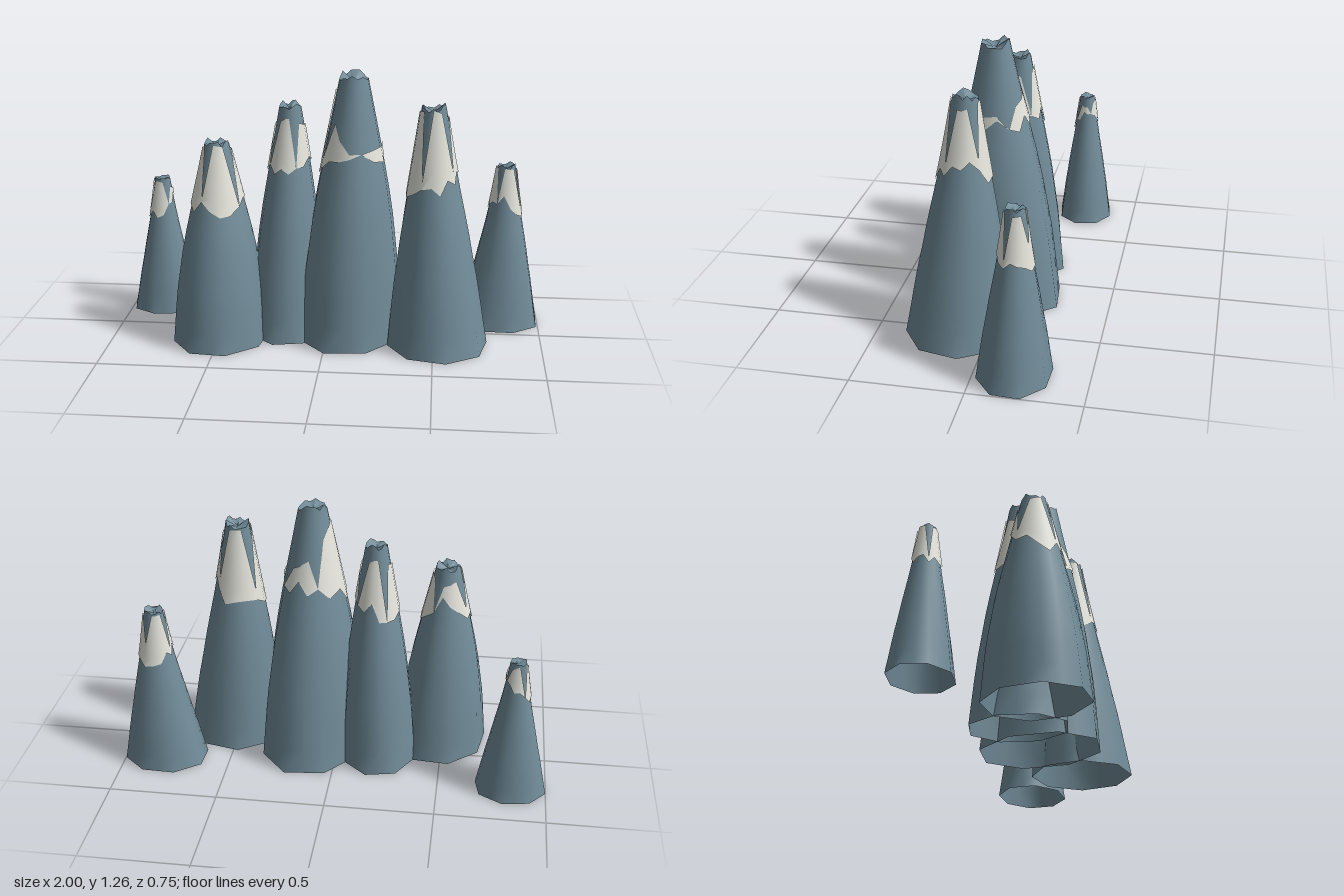
import * as THREE from 'three';

const rock = new THREE.MeshStandardMaterial({ color: 0x718c99, side: THREE.DoubleSide });
const snow = new THREE.MeshStandardMaterial({ color: 0xe6e6de, side: THREE.DoubleSide });

// Each peak: summit, centre and half-size of its eight-sided foot, turn of the foot
// in degrees, sideways skew of the foot, how slim the slope is at mid height, and
// lower / upper snow limits (share of height) at front, +x, back, -x.
const PEAKS = [
  { top: [-0.835, 0.68, -0.24], foot: [-0.837, -0.245], half: [0.167, 0.139], turn: -13, skew: 0, slim: 0.12,
    low: [0.74, 0.88, 0.8, 0.72], high: [0.96, 0.9, 0.97, 0.97] },
  { top: [-0.495, 0.96, 0.13], foot: [-0.49, 0.14], half: [0.22, 0.24], turn: 18, skew: 0.08, slim: 0,
    low: [0.67, 0.69, 0.84, 0.72], high: [0.98, 0.96, 0.9, 0.96] },
  { top: [-0.175, 1.11, -0.008], foot: [-0.2, -0.005], half: [0.185, 0.232], turn: -13, skew: 0, slim: 0.01,
    low: [0.72, 0.74, 0.72, 0.7], high: [0.94, 0.9, 0.94, 0.9] },
  { top: [0.12, 1.26, 0.045], foot: [0.115, 0.02], half: [0.245, 0.295], turn: -18, skew: 0.12, slim: 0,
    low: [0.7, 0.71, 0.72, 0.64], high: [0.72, 0.74, 0.8, 0.95] },
  { top: [0.48, 1.135, 0.1], foot: [0.52, 0.135], half: [0.234, 0.239], turn: 10, skew: 0, slim: 0.07,
    low: [0.65, 0.74, 0.68, 0.65], high: [0.98, 0.94, 0.97, 0.97] },
  { top: [0.825, 0.795, -0.18], foot: [0.81, -0.175], half: [0.2, 0.165], turn: 20, skew: 0, slim: 0.12,
    low: [0.78, 0.68, 0.7, 0.77], high: [0.98, 0.96, 0.97, 0.98] },
];

// Taper of the slope: [share of height, share of foot radius]
const TAPER = [[0, 1], [0.25, 0.9], [0.5, 0.725], [0.7, 0.525], [0.85, 0.37], [1, 0.22]];
const SIDES = 8;
const COLS = SIDES * 2;

function taper(t) {
  let i = 0;
  while (i < TAPER.length - 2 && t > TAPER[i + 1][0]) i++;
  const [t0, f0] = TAPER[i], [t1, f1] = TAPER[i + 1];
  return f0 + ((f1 - f0) * (t - t0)) / (t1 - t0);
}

// Repeatable jitter in 0..1
function jitter(a, b) {
  const s = Math.sin(a * 12.99 + b * 78.23) * 43758.5;
  return s - Math.floor(s);
}

// Snow limit at a column, blended between the four directions
function limit(peak, values, c) {
  const u = 4 * (c / COLS + peak.turn / 360 + 1), i = Math.floor(u);
  return THREE.MathUtils.lerp(values[i % 4], values[(i + 1) % 4], u - i);
}

// Foot outline at a column: even columns are corners, odd ones mid-sides
function footPoint(peak, c) {
  const a = THREE.MathUtils.degToRad(peak.turn) + (c / COLS) * Math.PI * 2;
  const k = c % 2 ? Math.cos(Math.PI / SIDES) : 1;
  const dz = Math.cos(a) * peak.half[1] * k;
  return [peak.foot[0] + Math.sin(a) * peak.half[0] * k - peak.skew * dz, peak.foot[1] + dz];
}

// Point on the slope at column c and height share t; the outline grows rounder upwards
function slope(peak, c, t, swell = 0) {
  const [x, h, z] = peak.top;
  const [fx, fz] = footPoint(peak, c);
  const dx = fx - x, dz = fz - z, len = Math.hypot(dx, dz);
  const mean = (peak.half[0] + peak.half[1]) / 2;
  const share = taper(t) - peak.slim * Math.sin(Math.PI * t);
  const r = THREE.MathUtils.lerp(len, mean, t) * share + swell;
  return [x + (dx / len) * r, t * h, z + (dz / len) * r];
}

// Surface through closed rings, listed from bottom to top
function loft(rings) {
  const index = [];
  for (let r = 0; r < rings.length - 1; r++)
    for (let c = 0; c < COLS; c++) {
      const a = r * COLS + c, b = r * COLS + ((c + 1) % COLS);
      index.push(a, b, b + COLS, a, b + COLS, a + COLS);
    }
  const g = new THREE.BufferGeometry();
  g.setAttribute('position', new THREE.Float32BufferAttribute(rings.flat(2), 3));
  g.setIndex(index);
  g.computeVertexNormals();
  return g;
}

const ring = (fn) => Array.from({ length: COLS }, (_, c) => fn(c));

function add(group, name, geometry, material) {
  const mesh = new THREE.Mesh(geometry, material);
  mesh.name = name;
  group.add(mesh);
}

export function createModel() {
  const range = new THREE.Group();
  range.name = 'mountainRange';
  PEAKS.forEach((peak, p) => {
    const group = new THREE.Group();
    group.name = 'peak' + (p + 1);
    const [x, h, z] = peak.top;

    // Rock slope, open below, with a jagged rim
    const rim = ring((c) => slope(peak, c, 0.97 + 0.03 * jitter(c, p + 1)));
    const rings = [];
    for (let i = 0; i <= 10; i++) rings.push(ring((c) => slope(peak, c, i * 0.093)));
    add(group, 'rockSlope', loft([...rings, rim]), rock);

    // Shallow hollow inside the rim
    add(group, 'summitHollow', loft([rim, ring(() => [x, h * 0.965, z])]), rock);

    // Snow lying just over the rock, with a ragged lower edge and scattered gaps
    const rows = 6;
    const snowRings = [];
    for (let r = 0; r <= rows; r++)
      snowRings.push(ring((c) => {
        const low = limit(peak, peak.low, c) + 0.08 * (jitter(c, p + 9) - 0.5);
        const gap = c % 4 === 2 ? 0.15 + 0.15 * jitter(c, p + 20) : 0;
        const high = Math.max(low, limit(peak, peak.high, c) - gap);
        return slope(peak, c, THREE.MathUtils.lerp(low, high, r / rows), 0.006);
      }));
    add(group, 'snowCap', loft(snowRings), snow);
    range.add(group);
  });
  return range;
}
